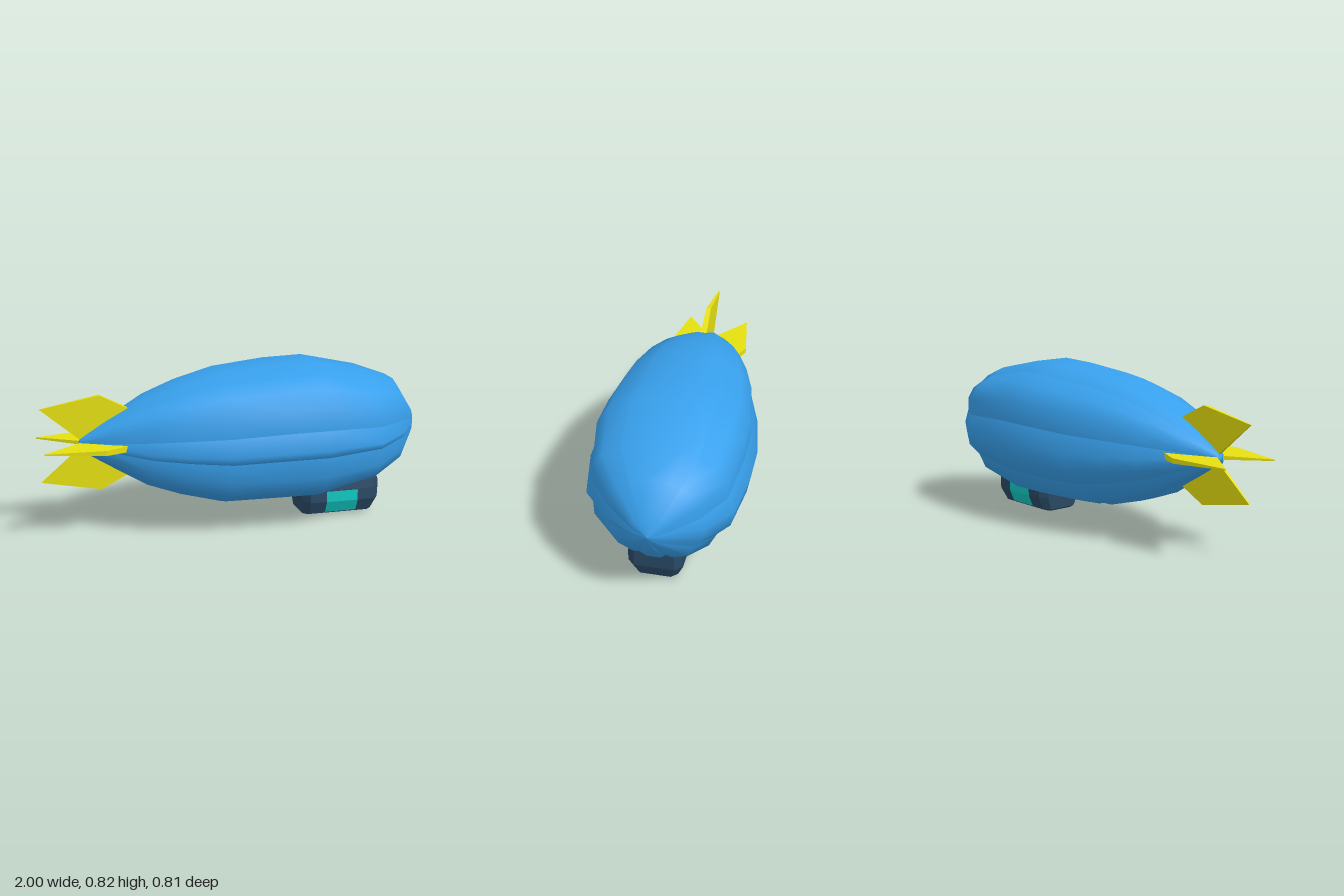
import * as THREE from 'three';

const paint = (color, flatShading = false) => new THREE.MeshStandardMaterial({ color, flatShading });
const blue = paint(0x38a0ec);
const yellow = paint(0xe6e010, true);
const dark = paint(0x2a4a66, true);
const teal = paint(0x12c8c2, true);
teal.side = THREE.DoubleSide;

// Skin a list of rows, each with the same number of [x, y, z] points
function loft(rows) {
  const n = rows[0].length, index = [];
  for (let i = 0; i < rows.length - 1; i++) {
    for (let j = 0; j < n - 1; j++) {
      const a = i * n + j, b = a + n;
      index.push(a, b, a + 1, b, b + 1, a + 1);
    }
  }
  const g = new THREE.BufferGeometry();
  g.setAttribute('position', new THREE.Float32BufferAttribute(rows.flat(2), 3));
  g.setIndex(index);
  g.computeVertexNormals();
  return g;
}

function add(parent, name, geometry, material) {
  const mesh = new THREE.Mesh(geometry, material);
  mesh.name = name;
  parent.add(mesh);
  return mesh;
}

// Lobes of the widest section as [z, y]; neighbours meet in a sharp valley
const LOBES = [
  [[0.20, 0.775], [0.07, 0.82], [-0.13, 0.82], [-0.21, 0.77]],
  [[-0.21, 0.77], [-0.305, 0.725], [-0.365, 0.64], [-0.37, 0.53]],
  [[-0.37, 0.53], [-0.405, 0.435], [-0.385, 0.335], [-0.315, 0.26]],
  [[-0.315, 0.26], [-0.27, 0.165], [-0.14, 0.13], [-0.09, 0.145]],
  [[-0.09, 0.145], [-0.05, 0.11], [0.07, 0.11], [0.13, 0.145]],
  [[0.13, 0.145], [0.18, 0.14], [0.305, 0.2], [0.365, 0.285], [0.37, 0.39]],
  [[0.37, 0.39], [0.405, 0.435], [0.37, 0.53]],
  [[0.37, 0.53], [0.365, 0.64], [0.305, 0.73], [0.20, 0.775]],
];

// Stations along the hull: x, height scale, width scale, centre y, centre z
const STATIONS = [
  [-0.81, 0, 0, 0.46, 0.03],
  [-0.80, 0.09, 0.08, 0.46, 0.03],
  [-0.66, 0.33, 0.32, 0.46, 0.032],
  [-0.47, 0.63, 0.6, 0.454, 0.032],
  [-0.30, 0.8, 0.76, 0.452, 0.025],
  [-0.09, 0.95, 0.9, 0.448, 0.013],
  [0.19, 0.99, 0.99, 0.458, 0],
  [0.40, 1, 1, 0.46, 0],
  [0.70, 0.82, 0.89, 0.458, -0.018],
  [0.87, 0.63, 0.585, 0.464, -0.033],
  [0.97, 0.22, 0.21, 0.46, -0.03],
  [1.00, 0, 0, 0.46, -0.028],
];

function makeEnvelope() {
  const group = new THREE.Group();
  group.name = 'envelope';
  LOBES.forEach((lobe, k) => {
    const rows = STATIONS.map(([x, sy, sz, cy, cz]) =>
      lobe.map(([z, y]) => [x, cy + (y - 0.46) * sy, cz + z * sz]));
    add(group, 'envelopeLobe' + (k + 1), loft(rows), blue);
  });
  return group;
}

// Four fins, thick at the root's leading edge and thin at the tail
function makeFins() {
  const group = new THREE.Group();
  group.name = 'tailFins';
  group.position.set(0, 0.463, 0.032);
  const outline = [[-1, 0.188], [-0.8, 0.02], [-0.5, 0.1], [-0.55, 0.165], [-0.7, 0.243]];
  const shape = new THREE.Shape(outline.map(([x, y]) => new THREE.Vector2(x, y)));
  const geometry = new THREE.ExtrudeGeometry(shape, { depth: 1, bevelEnabled: false });
  const p = geometry.attributes.position;
  for (let i = 0; i < p.count; i++) {
    const thickness = THREE.MathUtils.mapLinear(p.getX(i), -1, -0.55, 0.007, 0.034);
    p.setZ(i, (p.getZ(i) - 0.5) * thickness);
  }
  geometry.computeVertexNormals();
  ['topFin', 'leftFin', 'bottomFin', 'rightFin'].forEach((name, k) => {
    const fin = add(group, name, geometry, yellow);
    fin.rotation.x = k * Math.PI / 2;
    if (k % 2) fin.scale.y = 0.87;
  });
  return group;
}

// Gondola tiers: y, back x, front x, half width, corner cut
const TIERS = [
  [0.003, 0.365, 0.715, 0.08, 0.02],
  [0.012, 0.355, 0.735, 0.107, 0.03],
  [0.08, 0.349, 0.762, 0.137, 0.036],
  [0.14, 0.343, 0.765, 0.137, 0.036],
  [0.185, 0.40, 0.765, 0.13, 0.036],
];

function makeGondola() {
  const group = new THREE.Group();
  group.name = 'gondola';
  const ring = ([y, x0, x1, w, c]) => [
    [x1, y, -w + c], [x1, y, w - c], [x1 - c, y, w], [x0 + c, y, w], [x0, y, w - c],
    [x0, y, -w + c], [x0 + c, y, -w], [x1 - c, y, -w], [x1, y, -w + c],
  ];
  const point = (y) => Array.from({ length: 9 }, () => [0.55, y, 0]);
  add(group, 'cabin', loft([point(0), ...TIERS.map(ring), point(0.185)]), dark);

  // Side windows bent over the cabin wall
  for (const side of [1, -1]) {
    const rows = [[0.018, 0.113], [0.08, 0.14], [0.137, 0.14]].map(([y, z]) =>
      [[0.64, y, side * z], [0.47, y, side * z]]);
    add(group, side > 0 ? 'frontWindow' : 'backWindow', loft(rows), teal);
  }
  return group;
}

export function createModel() {
  const model = new THREE.Group();
  model.name = 'airship';
  model.add(makeEnvelope(), makeFins(), makeGondola());
  return model;
}
